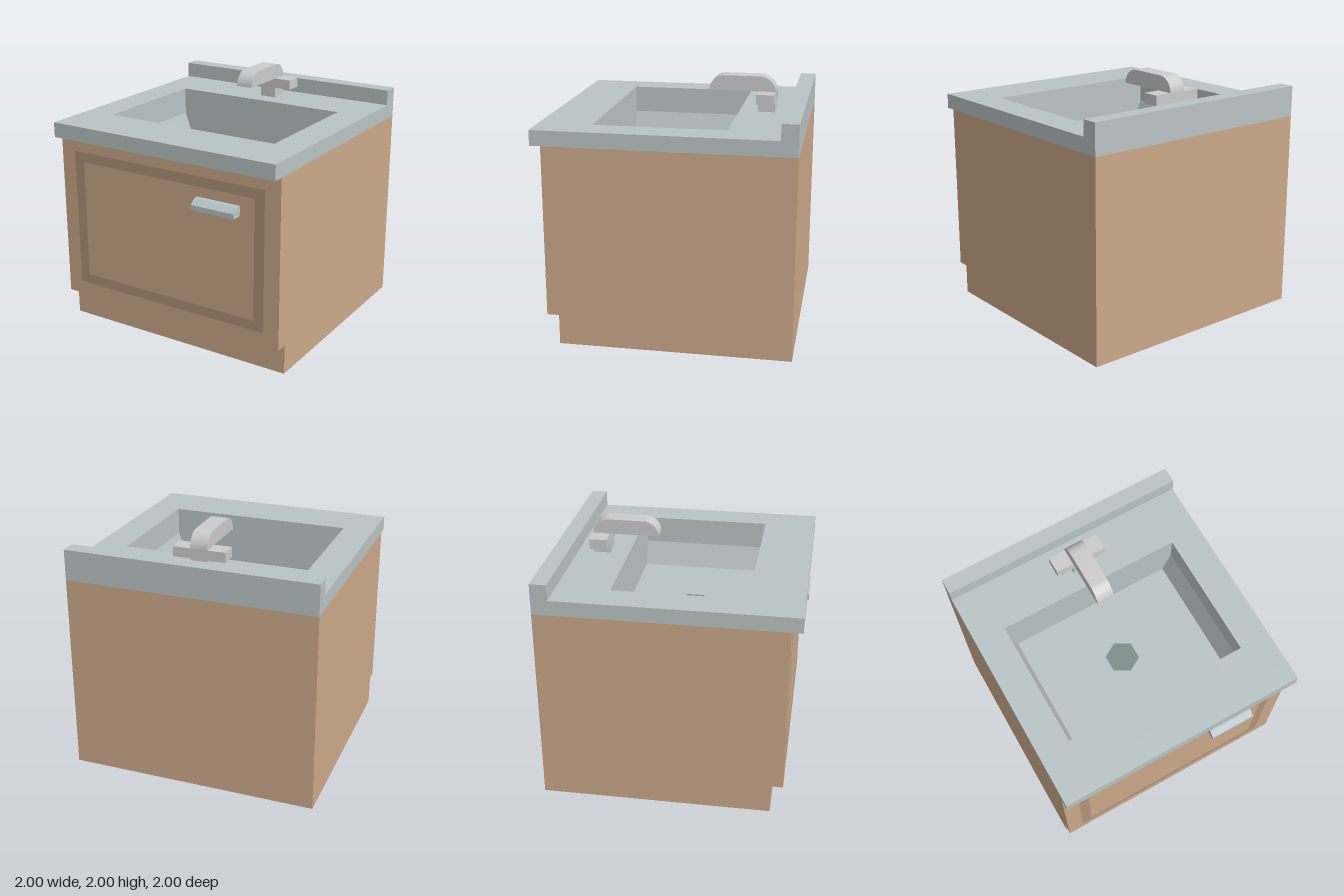
import * as THREE from 'three';
import { toCreasedNormals } from 'three/addons/utils/BufferGeometryUtils.js';

const BASE_TOP = 1.595, DECK = 1.715, BACK = -1, DOOR_Z = 0.915;

const material = (color) => new THREE.MeshStandardMaterial({ color });

function addMesh(parent, name, geometry, mat) {
  const mesh = new THREE.Mesh(geometry, mat);
  mesh.name = name;
  parent.add(mesh);
  return mesh;
}

// Side profile of [z, y] points
function profile(points) {
  return new THREE.Shape(points.map(([z, y]) => new THREE.Vector2(-z, y)));
}

// Extrude a side profile from x0 to x1
function extrudeX(shape, x0, x1) {
  const g = new THREE.ExtrudeGeometry(shape, { depth: x1 - x0, bevelEnabled: false, curveSegments: 10 });
  return g.rotateY(Math.PI / 2).translate(x0, 0, 0);
}

// Remove the level faces lying at a given height
function openAt(geometry, y) {
  const p = geometry.attributes.position, kept = [];
  for (let i = 0; i < p.count; i += 3) {
    if ([0, 1, 2].every((k) => Math.abs(p.getY(i + k) - y) < 1e-4)) continue;
    for (let k = 0; k < 3; k++) kept.push(p.getX(i + k), p.getY(i + k), p.getZ(i + k));
  }
  return fromPositions(kept);
}

function fromPositions(positions) {
  const g = new THREE.BufferGeometry();
  g.setAttribute('position', new THREE.Float32BufferAttribute(positions, 3));
  g.computeVertexNormals();
  return g;
}

function rect(x0, x1, y0, y1) {
  return [[x0, y0], [x1, y0], [x1, y1], [x0, y1]].map(([x, y]) => new THREE.Vector2(x, y));
}

function panelWithHole(outer, inner) {
  const shape = new THREE.Shape(outer);
  shape.holes.push(new THREE.Path(inner));
  return new THREE.ShapeGeometry(shape);
}

// Bowl from rings of [half width, height], closed by a floor
function basinGeometry(rings, z0, z1) {
  const loops = rings.map(([w, y]) => [[-w, y, z0], [-w, y, z1], [w, y, z1], [w, y, z0]]);
  const out = [];
  const quad = (a, b, c, d) => out.push(...a, ...b, ...c, ...a, ...c, ...d);
  for (let r = 0; r + 1 < loops.length; r++) {
    for (let i = 0; i < 4; i++) {
      const j = (i + 1) % 4;
      quad(loops[r][i], loops[r][j], loops[r + 1][j], loops[r + 1][i]);
    }
  }
  quad(...loops[loops.length - 1]);
  return fromPositions(out);
}

export function createModel() {
  const model = new THREE.Group();
  model.name = 'sinkCabinet';
  const wood = material(0xcca98a), darkWood = material(0xb3947a);
  const stone = material(0xbac4c5), drainGrey = material(0x7f8e8b);
  const handleMetal = material(0xbac6ca), metal = material(0xcccccc);

  // Cabinet body with a recessed toe kick, open under the counter
  const body = profile([[0.82, 0], [0.82, 0.24], [DOOR_Z, 0.24], [DOOR_Z, BASE_TOP], [BACK, BASE_TOP], [BACK, 0]]);
  addMesh(model, 'cabinetBody', openAt(extrudeX(body, -1, 1), BASE_TOP), wood);

  // Dark border on the door
  const border = panelWithHole(rect(-0.87, 0.87, 0.35, 1.48), rect(-0.785, 0.785, 0.43, 1.4));
  addMesh(model, 'doorBorder', border.translate(0, 0, DOOR_Z + 0.003), darkWood);

  // Door handle with a chamfered top
  const grip = profile([[DOOR_Z, 1.24], [1, 1.24], [1, 1.28], [0.955, 1.32], [DOOR_Z, 1.32]]);
  addMesh(model, 'doorHandle', extrudeX(grip, 0.29, 0.66), handleMetal);

  // Counter: outer edge with backsplash, top with cut-out, front lip
  const counter = new THREE.Group();
  counter.name = 'counter';
  model.add(counter);
  const edge = profile([[1, BASE_TOP], [1, DECK], [-0.87, DECK], [-0.87, 1.84], [BACK, 1.84], [BACK, BASE_TOP]]);
  const shell = openAt(openAt(extrudeX(edge, -1, 1), DECK), BASE_TOP);
  addMesh(counter, 'counterEdgeAndBacksplash', shell, stone);
  const top = panelWithHole(rect(-1, 1, -1, 0.87), rect(-0.75, 0.75, -0.58, 0.455));
  addMesh(counter, 'counterTop', top.rotateX(-Math.PI / 2).translate(0, DECK, 0), stone);
  const lip = new THREE.PlaneGeometry(2, 1 - DOOR_Z).rotateX(Math.PI / 2);
  addMesh(counter, 'counterLip', lip.translate(0, BASE_TOP, (1 + DOOR_Z) / 2), stone);

  // Basin with sloping lower ends, and a six-sided drain
  const floorY = 1.3;
  addMesh(model, 'basin', basinGeometry([[0.75, DECK], [0.75, 1.495], [0.68, floorY]], -0.455, 0.58), stone);
  const drain = new THREE.CircleGeometry(0.135, 6, Math.PI / 2).rotateX(-Math.PI / 2);
  addMesh(model, 'drain', drain.translate(0, floorY + 0.003, 0.065), drainGrey);

  // Faucet: post, cross handle and rounded spout
  const faucet = new THREE.Group();
  faucet.name = 'faucet';
  faucet.position.set(0.01, 0, 0);
  model.add(faucet);
  const post = new THREE.BoxGeometry(0.14, 0.165, 0.138);
  addMesh(faucet, 'faucetPost', post.translate(0, 1.7975, -0.672), metal);
  for (const side of [-1, 1]) {
    const arm = new THREE.BoxGeometry(0.14, 0.08, 0.138);
    addMesh(faucet, side > 0 ? 'leftTap' : 'rightTap', arm.translate(side * 0.14, 1.84, -0.672), metal);
  }
  const spout = new THREE.Shape();
  spout.moveTo(0.21, 1.88);
  spout.bezierCurveTo(0.21, 1.945, 0.265, 2, 0.33, 2);
  spout.lineTo(0.62, 2);
  spout.bezierCurveTo(0.685, 2, 0.741, 1.945, 0.741, 1.88);
  spout.closePath();
  addMesh(faucet, 'spout', toCreasedNormals(extrudeX(spout, -0.07, 0.07), 0.6), metal);

  return model;
}
